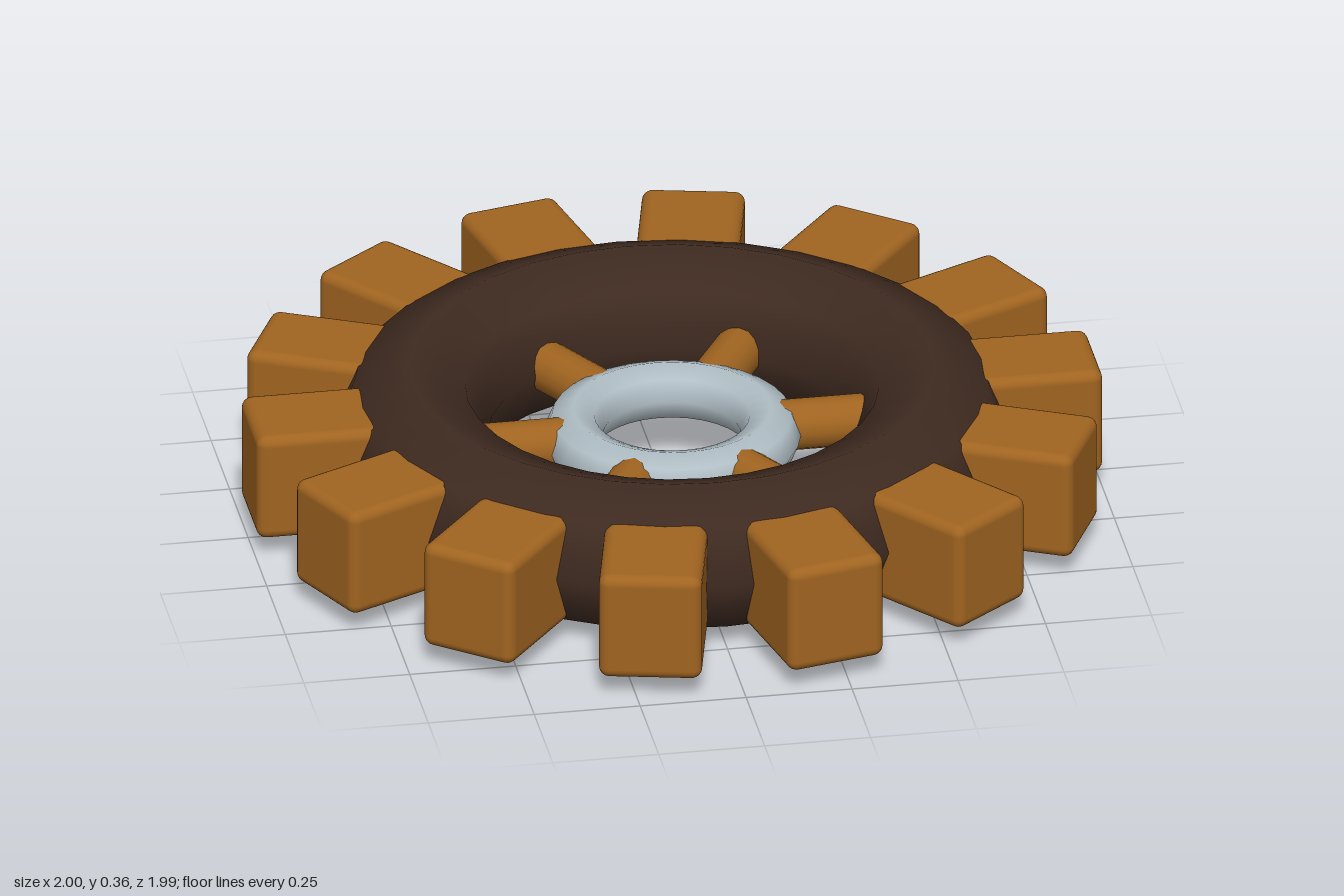
import * as THREE from 'three';
import { RoundedBoxGeometry } from 'three/addons/geometries/RoundedBoxGeometry.js';

const MID = 0.183; // height of the wheel's middle plane

function material(name, color) {
  const m = new THREE.MeshStandardMaterial({ color });
  m.name = name;
  return m;
}

// Repeats one geometry evenly around the vertical axis
function ring(name, geometry, mat, count) {
  const group = new THREE.Group();
  group.name = name + 's';
  for (let i = 0; i < count; i++) {
    const mesh = new THREE.Mesh(geometry, mat);
    mesh.name = name;
    mesh.rotation.y = (i / count) * Math.PI * 2;
    group.add(mesh);
  }
  return group;
}

export function createModel() {
  const darkWood = material('dark wood', 0x3e2a20);
  const wood = material('wood', 0xa06420);
  const steel = material('pale steel', 0xb0bec5);

  const wheel = new THREE.Group();
  wheel.name = 'gearWheel';
  wheel.position.y = MID;

  // Thick rim lying flat
  const rim = new THREE.Mesh(new THREE.TorusGeometry(0.61, 0.182, 8, 32).rotateX(Math.PI / 2), darkWood);
  rim.name = 'rim';

  // Hub ring in the middle
  const hub = new THREE.Mesh(new THREE.TorusGeometry(0.23, 0.07, 8, 32).rotateX(Math.PI / 2), steel);
  hub.name = 'hub';

  // Round spokes from hub to rim
  const spoke = new THREE.CylinderGeometry(0.06, 0.06, 0.27, 16).rotateZ(Math.PI / 2).translate(0.365, 0, 0);

  // Rounded teeth sunk into the rim
  const tooth = new RoundedBoxGeometry(0.3, 0.265, 0.24, 3, 0.025).translate(0.848, 0, 0);

  wheel.add(rim, hub, ring('spoke', spoke, wood, 6), ring('tooth', tooth, wood, 14));

  const model = new THREE.Group();
  model.name = 'model';
  model.add(wheel);
  return model;
}
